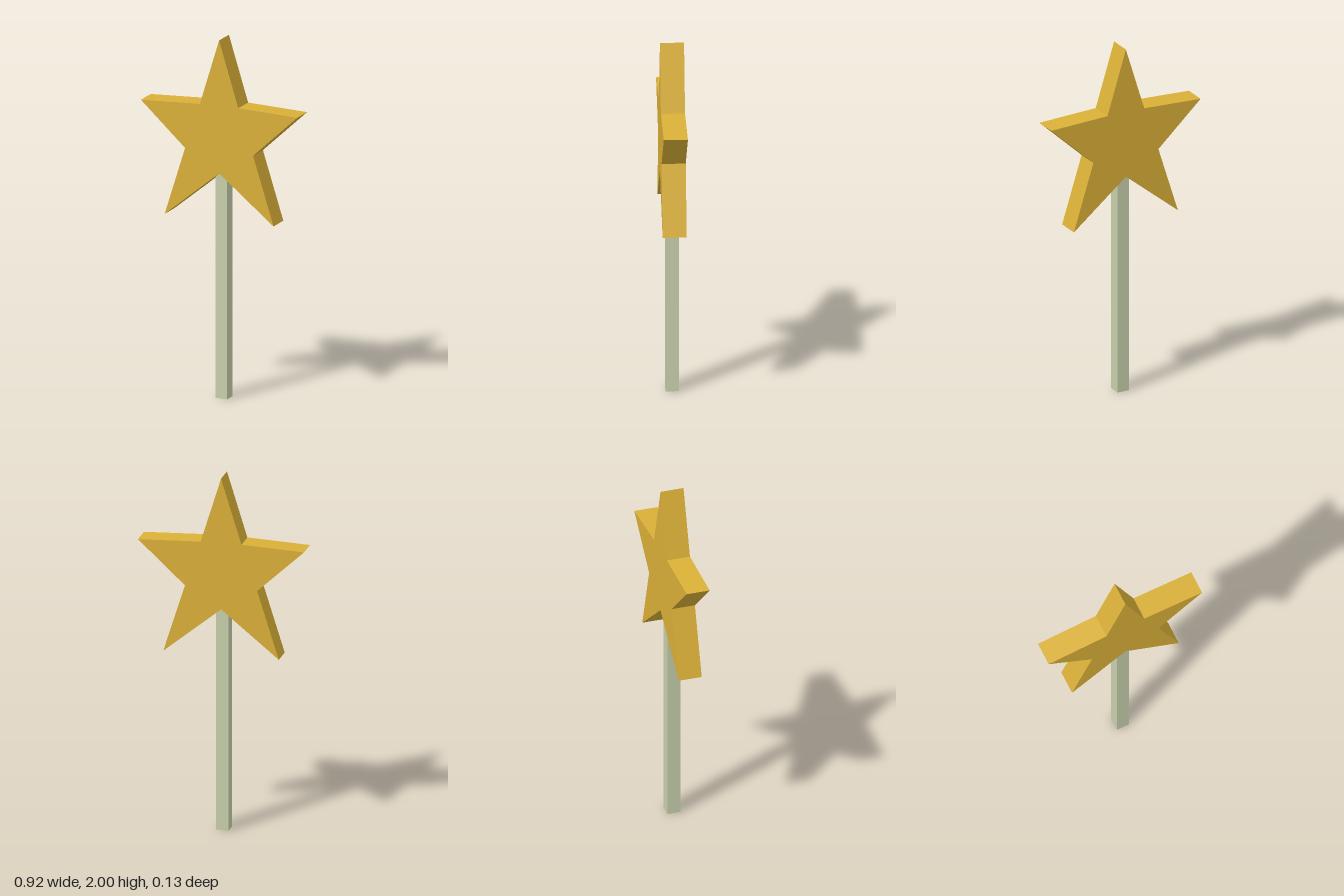
import * as THREE from 'three';

export function createModel() {
  const group = new THREE.Group();
  const gold = new THREE.MeshStandardMaterial({ color: 0xdab038 });
  const paleGreen = new THREE.MeshStandardMaterial({ color: 0xc8d0ac });

  // Star: right half of the outline from top tip to bottom notch, then mirrored
  const half = [[0, 2], [0.113, 1.635], [0.46, 1.62], [0.2, 1.38], [0.32, 1.0], [0, 1.26]];
  const mirrored = half.slice(1, -1).reverse().map(([x, y]) => [-x, y]);
  const outline = [...half, ...mirrored].map(([x, y]) => new THREE.Vector2(x, y));
  const depth = 0.13;
  const starGeometry = new THREE.ExtrudeGeometry(new THREE.Shape(outline), {
    depth, bevelEnabled: false,
  });
  starGeometry.translate(0, 0, -depth / 2);
  const star = new THREE.Mesh(starGeometry, gold);
  star.name = 'star';
  group.add(star);

  // Square handle, its top end set into the star
  const height = 1.32;
  const handle = new THREE.Mesh(new THREE.BoxGeometry(0.07, height, 0.072), paleGreen);
  handle.position.y = height / 2;
  handle.name = 'handle';
  group.add(handle);

  return group;
}
